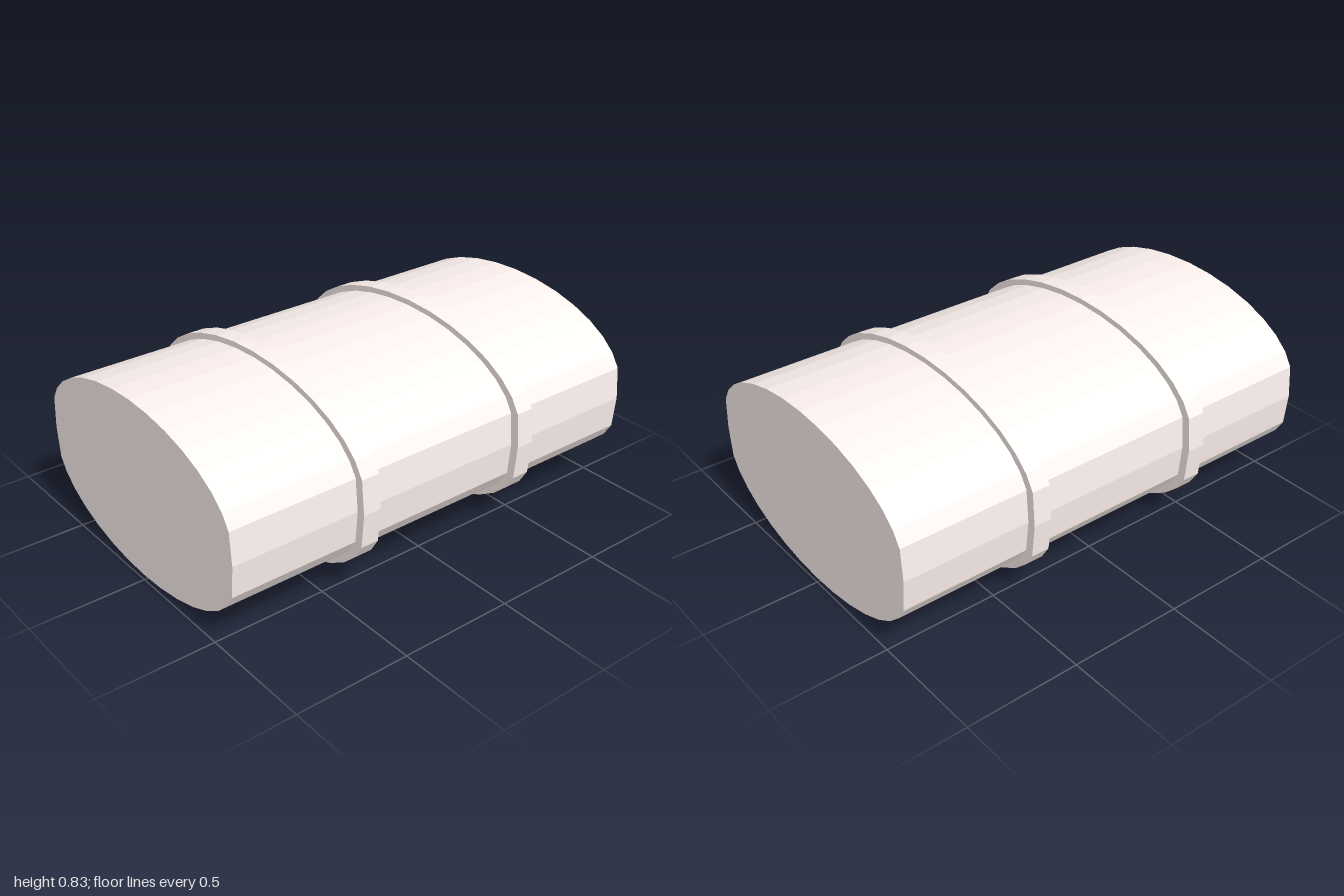
import * as THREE from 'three';

const CENTER_Y = 0.415;
const SIDES = 32;

// Faceted oval: an ellipse split at mid height, with steeper side walls
function ovalShape(halfWidth, halfHeight) {
  const points = [];
  for (let i = 0; i < SIDES; i++) {
    const t = (i / SIDES) * Math.PI * 2;
    const s = Math.sin(t);
    const lift = Math.abs(s) < 1e-6 ? 0 : 0.2 * Math.sign(s);
    points.push(new THREE.Vector2(halfWidth * Math.cos(t), halfHeight * (0.8 * s + lift)));
  }
  return new THREE.Shape(points);
}

export function createModel() {
  const group = new THREE.Group();
  group.name = 'ovalDrum';
  const material = new THREE.MeshStandardMaterial({ color: 0xfdf2ef, flatShading: true });

  // Solid oval prism along z, centred at the given z
  function addPrism(name, halfWidth, halfHeight, length, z) {
    const geometry = new THREE.ExtrudeGeometry(ovalShape(halfWidth, halfHeight), {
      depth: length, bevelEnabled: false,
    });
    geometry.translate(0, CENTER_Y, z - length / 2);
    const mesh = new THREE.Mesh(geometry, material);
    mesh.name = name;
    group.add(mesh);
  }

  // Drum body and its two raised hoops
  addPrism('body', 0.642, 0.391, 2, 0);
  addPrism('frontHoop', 0.679, 0.415, 0.08, 0.4);
  addPrism('backHoop', 0.679, 0.415, 0.08, -0.4);

  return group;
}
